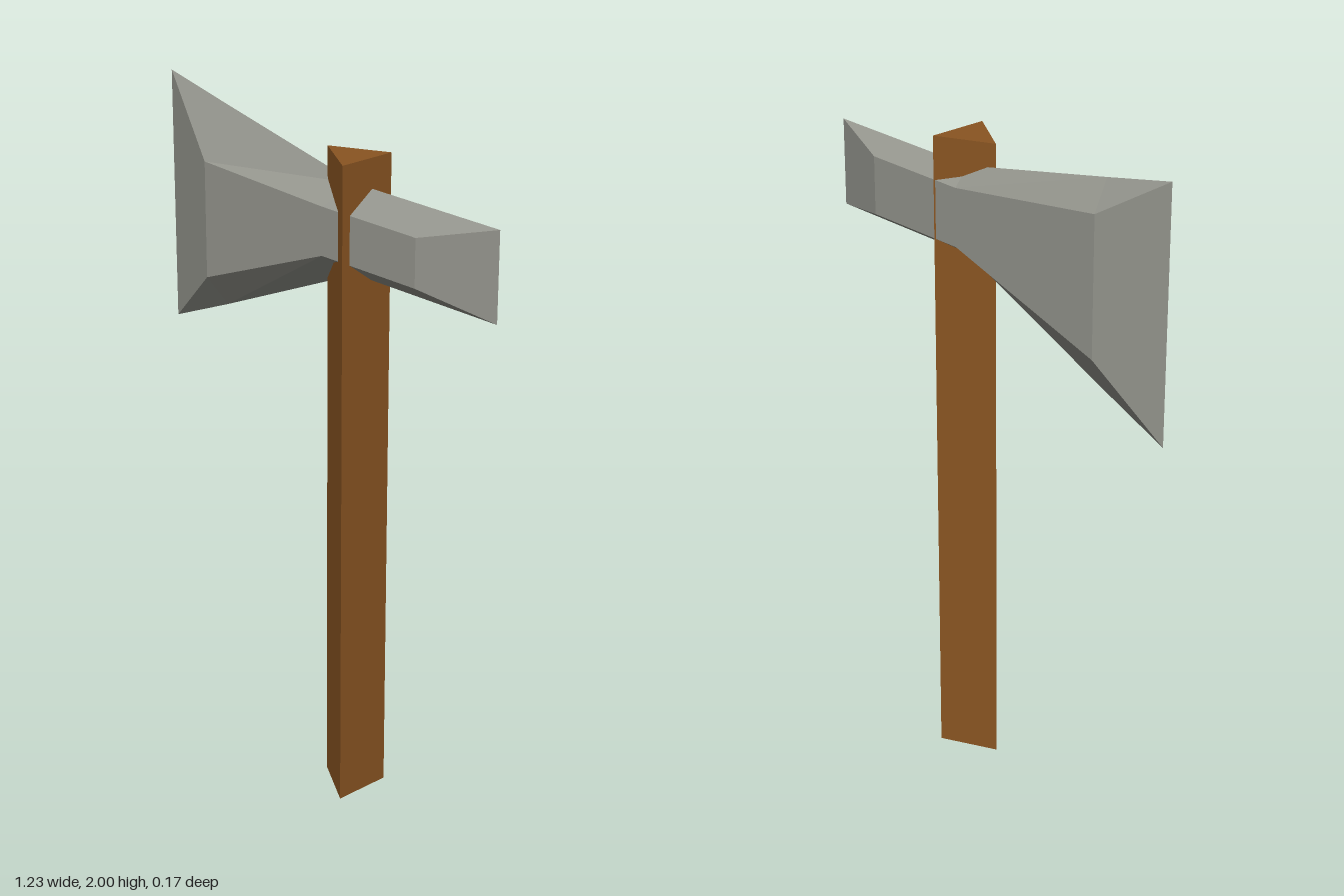
import * as THREE from 'three';

const wood = new THREE.MeshStandardMaterial({ color: 0x8a5522 });
wood.name = 'brown wood';
const steel = new THREE.MeshStandardMaterial({ color: 0x95968e });
steel.name = 'grey steel';

// Skin a row of equal-length rings, left to right, with faceted normals.
function loft(rings) {
  const pos = [];
  for (let r = 0; r < rings.length - 1; r++) {
    const a = rings[r], b = rings[r + 1], n = a.length;
    for (let i = 0; i < n; i++) {
      const j = (i + 1) % n;
      pos.push(...a[j], ...b[j], ...b[i], ...a[j], ...b[i], ...a[i]);
    }
  }
  const geo = new THREE.BufferGeometry();
  geo.setAttribute('position', new THREE.Float32BufferAttribute(pos, 3));
  geo.computeVertexNormals();
  return geo;
}

const RIDGE = -0.02, FRONT = 0.058, BACK = -0.085;

// Six-sided section: ridge, front and back lines, each [x, top, bottom].
function section(ridge, front, back) {
  return [
    [ridge[0], ridge[1], RIDGE], [front[0], front[1], FRONT], [front[0], front[2], FRONT],
    [ridge[0], ridge[2], RIDGE], [back[0], back[2], BACK], [back[0], back[1], BACK],
  ];
}

// Sharp end where front and back meet in one upright edge.
function edge(x, top, bottom) {
  return [top, top, bottom, bottom, bottom, top].map((y) => [x, y, RIDGE]);
}

export function createModel() {
  const group = new THREE.Group();
  group.name = 'axe';

  // Three-sided shaft
  const profile = new THREE.Shape([
    new THREE.Vector2(0.013, 0.01),
    new THREE.Vector2(0.163, -0.084),
    new THREE.Vector2(0.173, 0.087),
  ]);
  const shaft = new THREE.ExtrudeGeometry(profile, { depth: 1.925, bevelEnabled: false });
  shaft.rotateX(-Math.PI / 2);
  const handle = new THREE.Mesh(shaft, wood);
  handle.name = 'handle';
  group.add(handle);

  // Flared blade, running into the shaft
  const neck = section([0.11, 1.84, 1.585], [0.06, 1.783, 1.645], [0.09, 1.8, 1.63]);
  const blade = new THREE.Mesh(loft([
    edge(-0.618, 2.0, 1.265),
    section([-0.4, 1.951, 1.358], [-0.4, 1.8, 1.46], [-0.42, 1.875, 1.47]),
    neck,
  ]), steel);
  blade.name = 'blade';
  group.add(blade);

  // Straight poll on the other side
  const poll = new THREE.Mesh(loft([
    neck,
    section([0.4, 1.84, 1.585], [0.4, 1.783, 1.645], [0.415, 1.8, 1.63]),
    edge(0.616, 1.84, 1.585),
  ]), steel);
  poll.name = 'poll';
  group.add(poll);

  return group;
}
